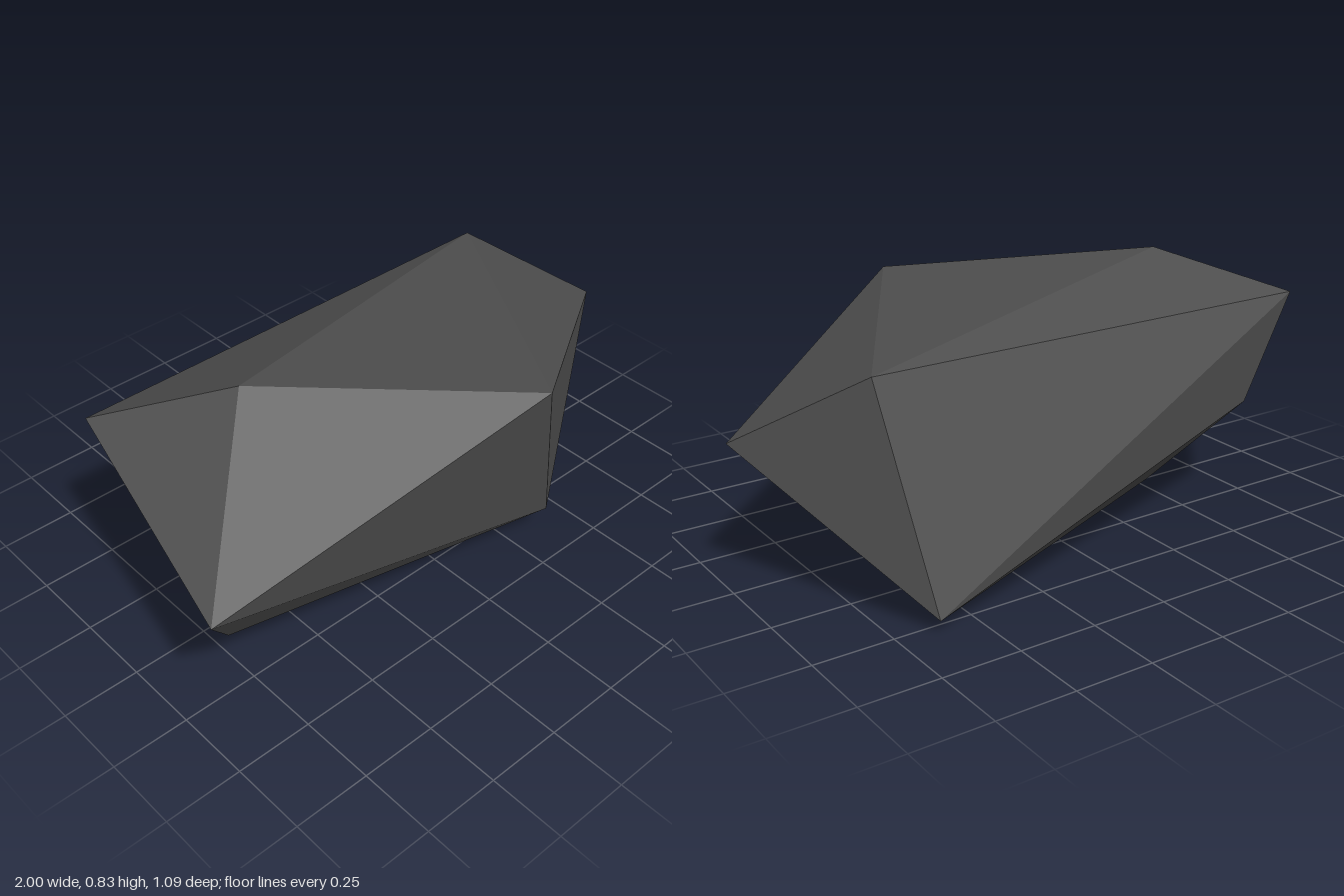
import * as THREE from 'three';
import { ConvexGeometry } from 'three/addons/geometries/ConvexGeometry.js';

export function createModel() {
  const group = new THREE.Group();
  group.name = 'rock';

  const darkStone = new THREE.MeshStandardMaterial({ color: 0x4d4d4d });
  darkStone.name = 'darkStone';

  // Corners of the faceted boulder
  const corners = [
    // upper corners
    [-0.54, 0.83, -0.01], [-0.86, 0.70, -0.33], [0.17, 0.75, 0.54], [0.70, 0.70, -0.33],
    // side corners
    [-1.0, 0.51, 0.43], [1.0, 0.475, -0.02], [-0.68, 0.355, -0.33], [-0.86, 0.29, 0.30],
    // lower corners
    [0.34, 0.13, 0.42], [0.63, 0.04, -0.55], [-0.54, 0, -0.01],
  ].map((p) => new THREE.Vector3(...p));

  // Flat-faced hull through the corners
  const boulder = new THREE.Mesh(new ConvexGeometry(corners), darkStone);
  boulder.name = 'boulder';
  group.add(boulder);
  return group;
}
